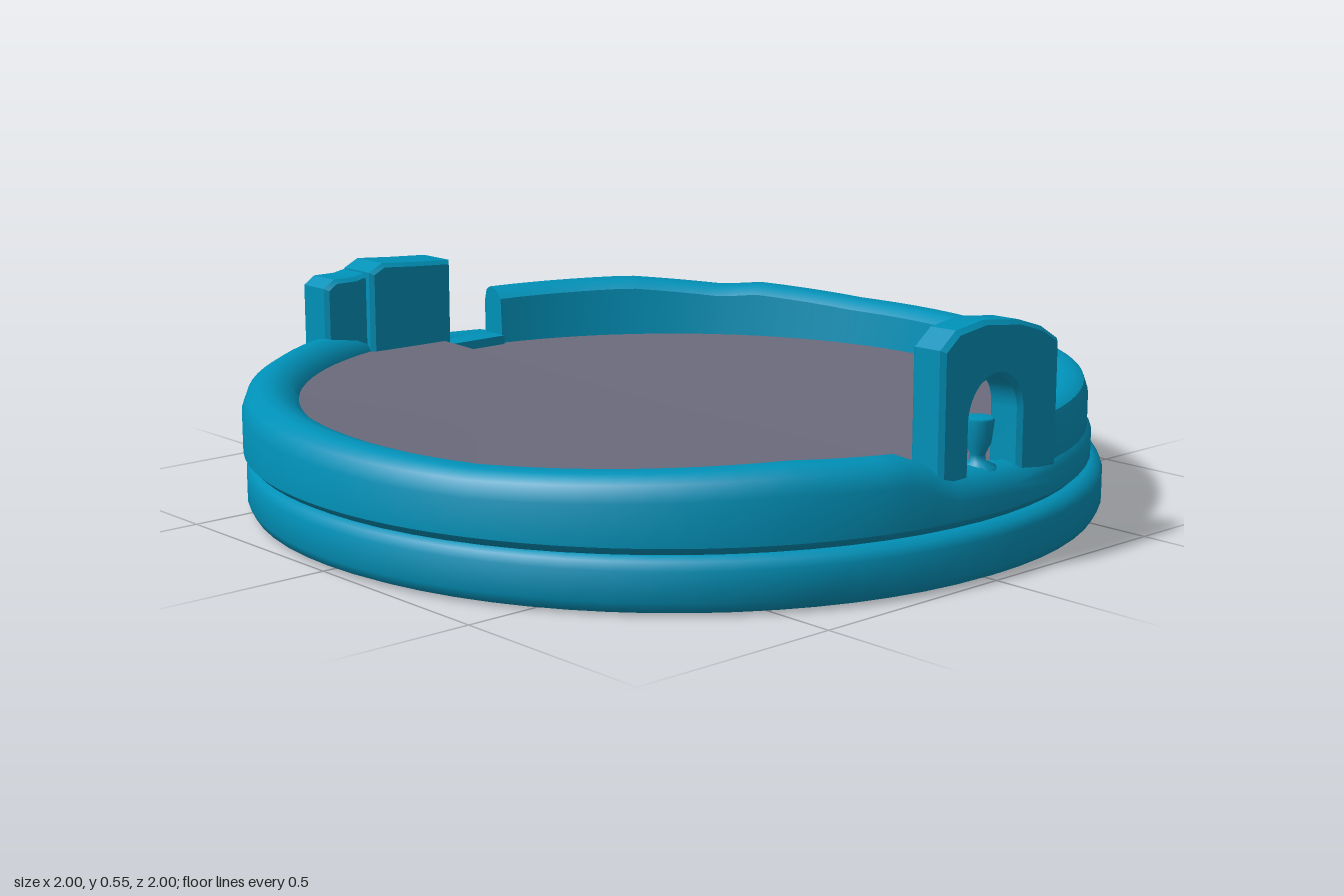
import * as THREE from 'three';
import { toCreasedNormals } from 'three/addons/utils/BufferGeometryUtils.js';

const blue = new THREE.MeshStandardMaterial({ color: 0x0091b8 });
blue.name = 'tealBlue';
const grey = new THREE.MeshStandardMaterial({ color: 0x6b6b7d });
grey.name = 'slateGrey';
const blend = new THREE.MeshStandardMaterial({ color: 0x4a7488 });
blend.name = 'greyTeal';

// Sweep a closed (radius, y) loop round the y axis; angle 0 faces +z, PI/2 faces +x.
function sweep(profileAt, a0, a1, steps) {
  const pos = [], index = [];
  let n = 0;
  for (let i = 0; i <= steps; i++) {
    const a = a0 + (a1 - a0) * i / steps;
    const loop = profileAt(a);
    n = loop.length;
    for (const [r, y] of loop) pos.push(r * Math.sin(a), y, r * Math.cos(a));
  }
  for (let i = 0; i < steps; i++) {
    for (let j = 0; j < n; j++) {
      const k = (j + 1) % n, p = i * n, q = p + n;
      index.push(p + j, q + j, q + k, p + j, q + k, p + k);
    }
  }
  const end = steps * n;
  for (let j = 1; j < n - 1; j++) {
    index.push(0, j, j + 1, end, end + j + 1, end + j);
  }
  const g = new THREE.BufferGeometry();
  g.setAttribute('position', new THREE.Float32BufferAttribute(pos, 3));
  g.setIndex(index);
  return toCreasedNormals(g, 0.75);
}

// Piecewise linear value by angle
function keyed(keys) {
  return a => {
    if (a <= keys[0][0]) return keys[0][1];
    for (let i = 1; i < keys.length; i++) {
      const [a0, h0] = keys[i - 1], [a1, h1] = keys[i];
      if (a <= a1) return h0 + (h1 - h0) * (a - a0) / (a1 - a0);
    }
    return keys[keys.length - 1][1];
  };
}

// Upright slab outlined in (z, y), thick along x and centred on x = 0
function slab(outline, depth, hole) {
  const shape = new THREE.Shape(outline.map(([z, y]) => new THREE.Vector2(-z, y)));
  if (hole) shape.holes.push(hole);
  const b = 0.01;
  const g = new THREE.ExtrudeGeometry(shape, {
    depth: depth - 2 * b, bevelThickness: b, bevelSize: b, bevelOffset: -b,
    bevelSegments: 1, curveSegments: 12,
  });
  g.translate(0, 0, b - depth / 2);
  g.rotateY(Math.PI / 2);
  return toCreasedNormals(g, 0.5);
}

export function createModel() {
  const group = new THREE.Group();
  const add = (name, geometry, material, x = 0, y = 0, z = 0) => {
    const m = new THREE.Mesh(geometry, material);
    m.name = name;
    m.position.set(x, y, z);
    group.add(m);
    return m;
  };
  const TAU = Math.PI * 2;

  // Foot ring and the step above it
  add('footRing', sweep(() => [
    [0.85, 0], [0.965, 0], [0.988, 0.01], [0.998, 0.03], [0.998, 0.095],
    [0.99, 0.113], [0.97, 0.122], [0.85, 0.122],
  ], 0, TAU, 72), blue, 0.002, 0, 0);
  add('middleStep', sweep(() => [
    [0.86, 0.11], [0.965, 0.12], [0.98, 0.135], [0.98, 0.185], [0.965, 0.203], [0.85, 0.205],
  ], 0, TAU, 72), blue, -0.003, 0, 0.01);

  // Flat floor, with the front half rising from the centre to the rim
  add('floor', new THREE.CircleGeometry(0.88, 72).rotateX(-Math.PI / 2), grey, 0, 0.207, 0);
  add('frontFloor', sweep(() => [[0, 0.2], [0.87, 0.2], [0.87, 0.25], [0, 0.209]],
    -1.52, 1.43, 40), grey, 0, 0, 0.013);

  // Underside with a softer band at its edge
  add('underside', new THREE.CircleGeometry(0.78, 72).rotateX(Math.PI / 2), grey, 0.002, 0, 0);
  add('undersideBand', new THREE.RingGeometry(0.78, 0.85, 72).rotateX(Math.PI / 2), blend, 0.002, 0, 0);

  // Low rounded front rim, dipping at the gap and under the archway
  const frontTop = keyed([
    [-1.75, 0.235], [-1.57, 0.24], [-1.5, 0.285], [-1.1, 0.295], [-0.4, 0.285],
    [0.4, 0.275], [1.1, 0.295], [1.38, 0.285], [1.46, 0.24], [1.8, 0.215],
  ]);
  const frontInner = keyed([[1.1, 0.86], [1.38, 0.828], [1.46, 0.86]]);
  add('frontRim', sweep(a => {
    const t = frontTop(a), r = frontInner(a);
    return [[r, 0.18], [0.955, 0.122], [0.975, 0.125], [0.99, 0.14], [0.99, t - 0.055],
      [0.977, t - 0.02], [0.95, t - 0.003], [0.92, t], [0.885, t - 0.012],
      [r, Math.min(0.25, t - 0.025)]];
  }, -1.75, 1.8, 56), blue, -0.008, 0, 0.01);

  // Taller back rim, set in from the step
  const backTop = keyed([
    [1.8, 0.312], [2.9, 0.312], [3.4, 0.32], [3.72, 0.342], [3.82, 0.333],
    [4.1, 0.355], [4.52, 0.348],
  ]);
  add('backRim', sweep(a => {
    const t = backTop(a);
    return [[0.865, 0.18], [0.965, 0.18], [0.965, t - 0.04], [0.955, t - 0.01],
      [0.935, t], [0.9, t - 0.005], [0.875, t - 0.025]];
  }, 1.8, 4.52, 44), blue, -0.005, 0, 0);

  // Arched gateway on the left side
  const door = new THREE.Path();
  door.moveTo(-0.045, 0.215);
  door.lineTo(-0.045, 0.335);
  door.absarc(0.04, 0.335, 0.085, Math.PI, 0, true);
  door.lineTo(0.125, 0.215);
  door.closePath();
  const arch = add('archway', slab([
    [0.14, 0.19], [-0.26, 0.19], [-0.26, 0.47], [-0.2, 0.505], [-0.12, 0.53],
    [0, 0.545], [0.09, 0.535], [0.14, 0.5],
  ], 0.085, door), blue, 0.911, 0, 0);
  arch.rotation.y = 0.06;

  // Small goblet-shaped post in the doorway
  add('doorPost', new THREE.LatheGeometry([
    [0, 0.2], [0.045, 0.2], [0.04, 0.225], [0.018, 0.235], [0.016, 0.25],
    [0.028, 0.275], [0.034, 0.325], [0.03, 0.33], [0, 0.33],
  ].map(([r, y]) => new THREE.Vector2(r, y)), 14), blue, 0.91, 0, -0.035);

  // Stepped block on the right side, with a low sill beside it
  add('blockTall', slab([
    [0.28, 0.19], [0.03, 0.19], [0.03, 0.455], [0.14, 0.462], [0.24, 0.47], [0.28, 0.45],
  ], 0.125), blue, -0.878, 0, 0);
  add('blockShort', slab([
    [0.4, 0.19], [0.26, 0.19], [0.26, 0.45], [0.31, 0.44], [0.37, 0.44], [0.4, 0.42],
  ], 0.105), blue, -0.892, 0, 0);
  add('gapSill', new THREE.BoxGeometry(0.1, 0.05, 0.2), blue, -0.89, 0.205, -0.06);

  return group;
}
